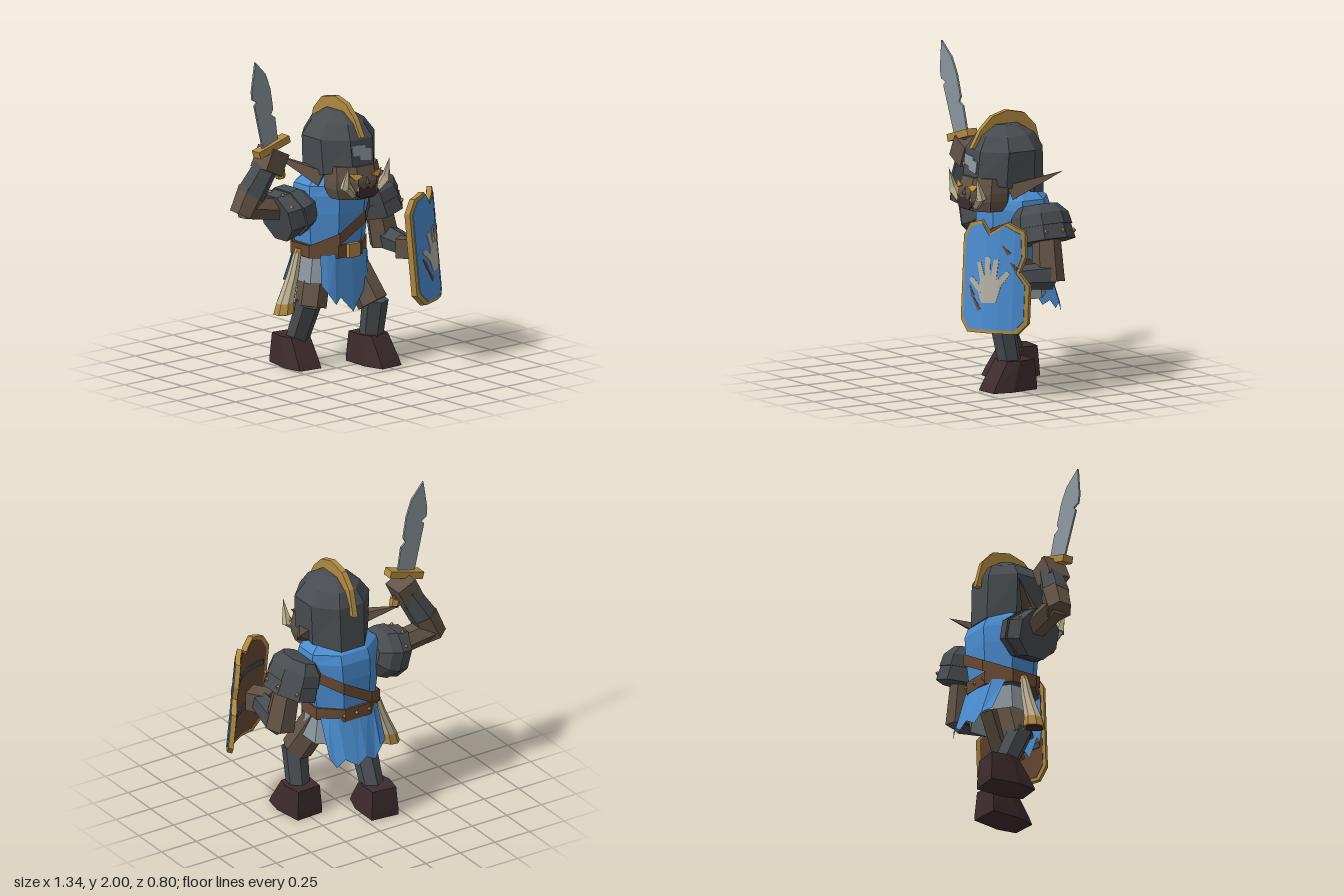
import * as THREE from 'three';
import { mergeGeometries } from 'three/addons/utils/BufferGeometryUtils.js';

const paint = (name, color, side = THREE.FrontSide) =>
  Object.assign(new THREE.MeshStandardMaterial({ color, flatShading: true, side }), { name });
const V = (p) => new THREE.Vector3(...p);
const CX = 0.056; // body midline

export function createModel() {
  const root = new THREE.Group();
  root.name = 'armouredWarrior';
  const blue = paint('blue cloth', 0x4a8ccf, THREE.DoubleSide);
  const steel = paint('dark steel', 0x484c50);
  const skin = paint('brown skin', 0x625345);
  const gold = paint('gold', 0xb08a40);
  const boot = paint('boot leather', 0x3d2c2d);
  const leather = paint('strap leather', 0x684932, THREE.DoubleSide);
  const bone = paint('bone', 0xbcb192);
  const chalk = paint('painted grey', 0xb2aea2);
  const bright = paint('bright steel', 0x8c979e, THREE.DoubleSide);
  const amber = paint('amber eye', 0xcc9038);

  const add = (name, geo, mat, parent = root) => {
    const m = new THREE.Mesh(geo, mat);
    m.name = name;
    parent.add(m);
    return m;
  };
  // Octagonal cross-section with optional slope of its plane
  const ring = (cx, y, cz, rx, rz, tx = 0, tz = 0) => Array.from({ length: 8 }, (_, i) => {
    const a = (i + 0.5) * Math.PI / 4, k = 1 / Math.cos(Math.PI / 8);
    const dx = Math.sin(a) * rx * k, dz = Math.cos(a) * rz * k;
    return [cx + dx, y + tx * dx + tz * dz, cz + dz];
  });
  // Skin over cross-sections listed from bottom to top
  const loft = (secs, closed = true, caps = true) => {
    const pos = [], n = secs[0].length;
    const tri = (a, b, c) => pos.push(...a, ...b, ...c);
    for (let s = 0; s + 1 < secs.length; s++)
      for (let i = 0; i < (closed ? n : n - 1); i++) {
        const j = (i + 1) % n, lo = secs[s], hi = secs[s + 1];
        tri(lo[i], lo[j], hi[j]);
        tri(lo[i], hi[j], hi[i]);
      }
    if (closed && caps) for (let i = 1; i + 1 < n; i++) {
      const lo = secs[0], hi = secs[secs.length - 1];
      tri(lo[0], lo[i + 1], lo[i]);
      tri(hi[0], hi[i], hi[i + 1]);
    }
    const g = new THREE.BufferGeometry();
    g.setAttribute('position', new THREE.Float32BufferAttribute(pos, 3));
    g.computeVertexNormals();
    return g;
  };
  // Tapered prism from a to b
  const limb = (name, a, b, r0, r1, mat, n = 6, parent = root) => {
    const A = V(a), d = V(b).sub(A), L = d.length();
    const m = add(name, new THREE.CylinderGeometry(r1, r0, L, n), mat, parent);
    m.position.copy(A).addScaledVector(d, 0.5);
    m.quaternion.setFromUnitVectors(new THREE.Vector3(0, 1, 0), d.normalize());
    return m;
  };
  const box = (name, size, p, mat, rot = [0, 0, 0], parent = root) => {
    const m = add(name, new THREE.BoxGeometry(...size), mat, parent);
    m.position.set(...p);
    m.rotation.set(...rot);
    return m;
  };
  const slab = (pts, depth) => new THREE.ExtrudeGeometry(
    new THREE.Shape(pts.map((p) => new THREE.Vector2(...p))), { depth, bevelEnabled: false });
  const stud = (p, parent = root) =>
    add('stud', new THREE.OctahedronGeometry(0.016), gold, parent).position.set(...p);

  // Tunic body, mail skirt, belt and shoulder strap
  add('tunic', loft([ring(0.045, 0.7, -0.12, 0.205, 0.185), ring(0.045, 0.77, -0.12, 0.21, 0.185),
    ring(0.05, 0.98, -0.12, 0.235, 0.2), ring(CX, 1.09, -0.12, 0.24, 0.2),
    ring(CX, 1.15, -0.12, 0.232, 0.178), ring(CX, 1.21, -0.12, 0.16, 0.1)]), blue);
  add('mailSkirt', loft([ring(0.05, 0.54, -0.12, 0.22, 0.18), ring(0.05, 0.72, -0.12, 0.195, 0.165)], true, false), bright);
  add('belt', loft([ring(0.04, 0.705, -0.12, 0.225, 0.2), ring(0.04, 0.785, -0.12, 0.225, 0.2)]), leather);
  box('buckle', [0.09, 0.085, 0.03], [CX, 0.745, 0.09], gold);
  for (const x of [-0.04, 0.05, 0.14]) stud([x, 0.745, -0.32]);
  add('shoulderStrap', loft([ring(0.05, 0.845, -0.12, 0.242, 0.212, 0.56), ring(0.05, 0.92, -0.12, 0.242, 0.212, 0.56)], true, false), leather);

  // Ragged cloth flaps: [x, top z, hem y, hem z]
  const flap = (name, cols) => add(name, loft([cols.map(([x, , y, z]) => [x, y, z]),
    cols.map(([x, z]) => [x, 0.73, z])], false), blue);
  flap('frontFlap', [[-0.145, 0.02, 0.54, 0.03], [-0.115, 0.045, 0.49, 0.06], [-0.07, 0.07, 0.42, 0.08],
    [-0.035, 0.07, 0.46, 0.08], [CX, 0.075, 0.36, 0.09], [0.145, 0.07, 0.48, 0.08],
    [0.185, 0.06, 0.46, 0.07], [0.22, 0.02, 0.56, 0.04]]);
  flap('backFlap', [[0.255, -0.23, 0.5, -0.33], [0.22, -0.27, 0.43, -0.36], [0.17, -0.3, 0.48, -0.375],
    [0.09, -0.31, 0.43, -0.4], [0.03, -0.31, 0.47, -0.395], [-0.04, -0.3, 0.43, -0.385],
    [-0.09, -0.29, 0.49, -0.37], [-0.15, -0.23, 0.51, -0.33]]);

  // Legs: hip, knee, ankle, with boots turned slightly outward
  const leg = (side, x, hip, knee, ankle, heel, yaw) => {
    const g = new THREE.Group();
    g.name = side + 'Leg';
    root.add(g);
    limb('thigh', hip, knee, 0.095, 0.098, skin, 6, g);
    limb('greave', [x, 0.41, knee[2]], ankle, 0.08, 0.072, steel, 6, g);
    const sole = (y, w, z0, z1) => [[-w * 0.72, y, z1], [w * 0.72, y, z1], [w, y, z1 * 0.6 + z0 * 0.4],
      [w * 0.85, y, z0], [-w * 0.85, y, z0], [-w, y, z1 * 0.6 + z0 * 0.4]];
    const b = add('boot', loft([sole(0, 0.108, 0, 0.31), sole(0.04, 0.106, 0, 0.29), sole(0.185, 0.094, 0.01, 0.2)]), boot, g);
    b.position.set(ankle[0], 0, heel);
    b.rotation.y = yaw;
  };
  leg('left', 0.245, [0.16, 0.68, -0.1], [0.225, 0.385, 0.07], [0.25, 0.15, 0.02], -0.11, 0.06);
  leg('right', -0.125, [-0.04, 0.68, -0.14], [-0.115, 0.38, -0.11], [-0.122, 0.15, -0.23], -0.37, -0.1);

  // Head and face
  add('face', loft([ring(CX, 1.085, 0.08, 0.145, 0.12), ring(CX, 1.15, 0.08, 0.168, 0.145),
    ring(CX, 1.2, 0.08, 0.17, 0.145), ring(CX, 1.29, 0.07, 0.16, 0.13)]), skin);
  const mouth = add('mouth', slab([[-0.09, -0.01], [-0.05, -0.04], [0.05, -0.04], [0.09, -0.01],
    [0.06, 0.04], [0.03, 0.015], [0, 0.035], [-0.03, 0.015], [-0.06, 0.04]], 0.009), boot);
  mouth.position.set(CX, 1.137, 0.217);
  limb('nose', [CX, 1.235, 0.2], [CX, 1.18, 0.215], 0.012, 0.03, skin, 4);
  for (const s of [-1, 1]) {
    const pts = [[s * 0.052, 0.026], [s * -0.052, -0.004], [s * 0.012, -0.026]];
    const eye = add('eye', slab(s > 0 ? pts.reverse() : pts, 0.008), amber);
    eye.position.set(CX + s * 0.078, 1.236, 0.208);
    eye.rotation.set(-0.28, s * 0.2, 0);
    limb('tusk', [CX + s * 0.085, 1.115, 0.195], [CX + s * 0.155, 1.19, 0.205], 0.02, 0.034, bone, 5);
    limb('tusk', [CX + s * 0.155, 1.17, 0.2], [CX + s * 0.16, 1.325, 0.238], 0.034, 0, bone, 5);
    limb('smallTusk', [CX + s * 0.07, 1.12, 0.21], [CX + s * 0.075, 1.19, 0.235], 0.016, 0, bone, 4);
    limb('ear', [CX + s * 0.16, 1.2, -0.01], [CX + s * 0.364, 1.34, -0.25], 0.068, 0, skin, 4);
  }

  // Helmet, crest and patched plate
  add('helmet', loft([ring(CX, 1.215, -0.05, 0.2, 0.235, 0, 0.21), ring(CX, 1.45, -0.055, 0.21, 0.22),
    ring(CX, 1.535, -0.06, 0.15, 0.17), ring(CX, 1.595, -0.06, 0.06, 0.075)]), steel);
  const crest = slab([[0.18, 1.46], [0.12, 1.565], [0.035, 1.645], [-0.07, 1.675], [-0.19, 1.65], [-0.27, 1.565],
    [-0.315, 1.395], [-0.27, 1.395], [-0.2, 1.5], [-0.06, 1.56], [0.08, 1.5], [0.14, 1.45]], 0.034);
  crest.rotateY(-Math.PI / 2).translate(CX + 0.017, 0, 0);
  add('crest', crest, gold);
  const patch = add('helmetPatch', slab([[-0.075, 0.055], [0.03, 0.045], [0.03, 0.025], [0.075, 0.02],
    [0.07, -0.055], [-0.02, -0.04], [-0.02, -0.015], [-0.07, -0.01]], 0.008), bright);
  patch.position.set(0.05, 1.365, 0.172);
  patch.rotation.x = -0.09;

  // Layered shoulder guards
  const pauldron = (name, p, tilt, out, rzLow) => {
    const g = new THREE.Group();
    g.name = name;
    g.position.set(...p);
    g.rotation.z = tilt;
    root.add(g);
    add('lowerPlate', loft([ring(0, -0.125, 0, 0.148, rzLow), ring(0, -0.02, 0, 0.138, 0.172)]), steel, g);
    add('dome', loft([ring(0, -0.035, 0, 0.148, 0.182), ring(0, 0.04, 0, 0.138, 0.17), ring(0, 0.1, 0, 0.085, 0.12)]), steel, g);
    for (const z of [-0.06, 0.06]) stud([out * 0.146, -0.08, z], g);
    for (const s of [-1, 1]) stud([out * 0.08, -0.08, s * rzLow * 0.92], g);
  };
  pauldron('leftPauldron', [0.368, 1.03, -0.125], 0.32, 1, 0.188);
  pauldron('rightPauldron', [-0.245, 1.0, -0.135], -1.3, -1, 0.135);

  // Raised sword arm
  limb('rightUpperArm', [-0.28, 1.01, -0.14], [-0.6, 1.065, -0.16], 0.075, 0.075, skin);
  limb('rightElbow', [-0.61, 1.02, -0.16], [-0.54, 1.17, -0.145], 0.08, 0.09, skin);
  limb('rightBracer', [-0.555, 1.14, -0.145], [-0.445, 1.33, -0.11], 0.09, 0.075, steel);
  box('rightHand', [0.135, 0.14, 0.15], [-0.44, 1.345, -0.1], skin, [0, 0, -0.45]);
  // Sword
  limb('grip', [-0.39, 1.26, -0.07], [-0.455, 1.44, -0.07], 0.025, 0.025, leather);
  limb('pommel', [-0.38, 1.235, -0.07], [-0.395, 1.285, -0.07], 0.03, 0.036, gold, 6);
  box('swordGuard', [0.245, 0.045, 0.07], [-0.455, 1.44, -0.07], gold, [0, 0, 0.29]);
  const blade = add('blade', slab([[-0.08, 0], [-0.165, 0.285], [-0.145, 0.305], [-0.185, 0.325], [-0.192, 0.38],
    [-0.168, 0.56], [-0.075, 0.47], [-0.03, 0.37], [0, 0.235], [-0.018, 0.205], [0.02, 0.18], [0.05, 0.03]], 0.012), bright);
  blade.position.set(-0.453, 1.44, -0.078);
  blade.rotation.set(0.045, 0.12, 0);

  // Shield arm
  limb('leftUpperArm', [0.42, 0.98, -0.13], [0.475, 0.68, -0.115], 0.085, 0.1, skin);
  limb('leftBracer', [0.485, 0.72, -0.13], [0.43, 0.72, 0.14], 0.085, 0.068, steel);
  box('leftHand', [0.12, 0.12, 0.14], [0.42, 0.72, 0.18], skin, [0, 0.58, 0]);

  // Curved shield: outlines are cut into upright strips and bowed outward
  const shield = new THREE.Group();
  shield.name = 'shield';
  shield.position.set(0.457, 0.742, 0.237);
  shield.rotation.set(-0.09, 0.585, 0, 'YXZ');
  root.add(shield);
  const cut = (pts, x, s) => pts.flatMap((p, i) => {
    const q = pts[(i + 1) % pts.length], a = s * (p[0] - x), b = s * (q[0] - x);
    const out = a >= 0 ? [p] : [];
    if (a * b < 0) out.push([x, p[1] + (q[1] - p[1]) * a / (a - b)]);
    return out;
  });
  const edges = [-0.23, -0.13, -0.04, 0.05, 0.14, 0.23];
  const bow = (x) => 0.072 * (1 - (x / 0.23) ** 2);
  const bowed = (name, pts, z0, z1, mat) => {
    const parts = [];
    for (let i = 0; i < 5; i++) {
      const [a, b] = [edges[i], edges[i + 1]];
      const piece = cut(cut(pts, a, 1), b, -1);
      if (piece.length < 3) continue;
      const g = slab(piece, z1 - z0), P = g.attributes.position;
      for (let k = 0; k < P.count; k++) {
        const t = (P.getX(k) - a) / (b - a);
        P.setZ(k, P.getZ(k) + z0 + bow(a) * (1 - t) + bow(b) * t);
      }
      g.computeVertexNormals();
      parts.push(g);
    }
    add(name, mergeGeometries(parts), mat, shield);
  };
  const outline = [[-0.22, 0.24], [-0.17, 0.32], [-0.08, 0.345], [-0.02, 0.27], [0.09, 0.34], [0.19, 0.29],
    [0.2, 0.14], [0.168, 0.04], [0.225, -0.04], [0.225, -0.27], [0.17, -0.335], [-0.16, -0.34], [-0.22, -0.27]].reverse();
  const inset = outline.map(([x, y]) => [x * 0.9, y * 0.94]);
  bowed('shieldRim', outline, -0.016, 0.018, gold);
  bowed('shieldFace', inset, 0, 0.022, blue);
  bowed('shieldBack', inset, -0.02, 0, leather);
  for (const y of [-0.14, 0.12])
    bowed('shieldBrace', [[-0.18, y], [0.16, y], [0.16, y + 0.035], [-0.18, y + 0.035]], -0.027, -0.015, steel);
  // Painted hand and scratches
  const stroke = (name, [x0, y0, x1, y1], w0, w1, mat) => {
    const L = Math.hypot(x1 - x0, y1 - y0), nx = (y1 - y0) / L, ny = (x0 - x1) / L;
    bowed(name, [[x0 + nx * w0, y0 + ny * w0], [x1 + nx * w1, y1 + ny * w1],
      [x1 - nx * w1, y1 - ny * w1], [x0 - nx * w0, y0 - ny * w0]], 0.019, 0.025, mat);
  };
  bowed('paintedPalm', [[-0.06, -0.155], [0.04, -0.15], [0.065, -0.06], [0.05, 0.005], [-0.06, 0.015], [-0.09, -0.075]], 0.019, 0.0245, chalk);
  for (const f of [[-0.06, -0.085, -0.145, -0.01], [-0.05, -0.02, -0.085, 0.09], [-0.018, -0.01, -0.025, 0.125],
    [0.018, -0.01, 0.035, 0.115], [0.035, -0.06, 0.11, 0.04]]) stroke('paintedFinger', f, 0.02, 0.015, chalk);
  for (const f of [[-0.15, -0.06, -0.12, -0.12], [-0.13, -0.11, -0.07, -0.2], [0.07, 0.2, 0.11, 0.15], [0.12, 0.1, 0.155, 0.06]])
    stroke('scratch', f, 0.004, 0.012, leather);

  // Horn hanging from the belt
  const horn = [[0.37, -0.305, 0.063], [0.435, -0.295, 0.053], [0.51, -0.268, 0.044],
    [0.6, -0.235, 0.036], [0.73, -0.2, 0.024]].map(([y, x, r]) => ring(x, y, -0.13, r, r, 0.12));
  add('hornBand', loft(horn.slice(0, 2)), gold);
  add('horn', loft(horn.slice(1)), bone);
  add('hornMouth', loft([ring(-0.305, 0.365, -0.13, 0.05, 0.05, 0.12), ring(-0.305, 0.374, -0.13, 0.05, 0.05, 0.12)]), boot);
  limb('hornTip', [-0.19, 0.75, -0.13], [-0.202, 0.715, -0.13], 0.022, 0.026, gold, 6);
  return root;
}
